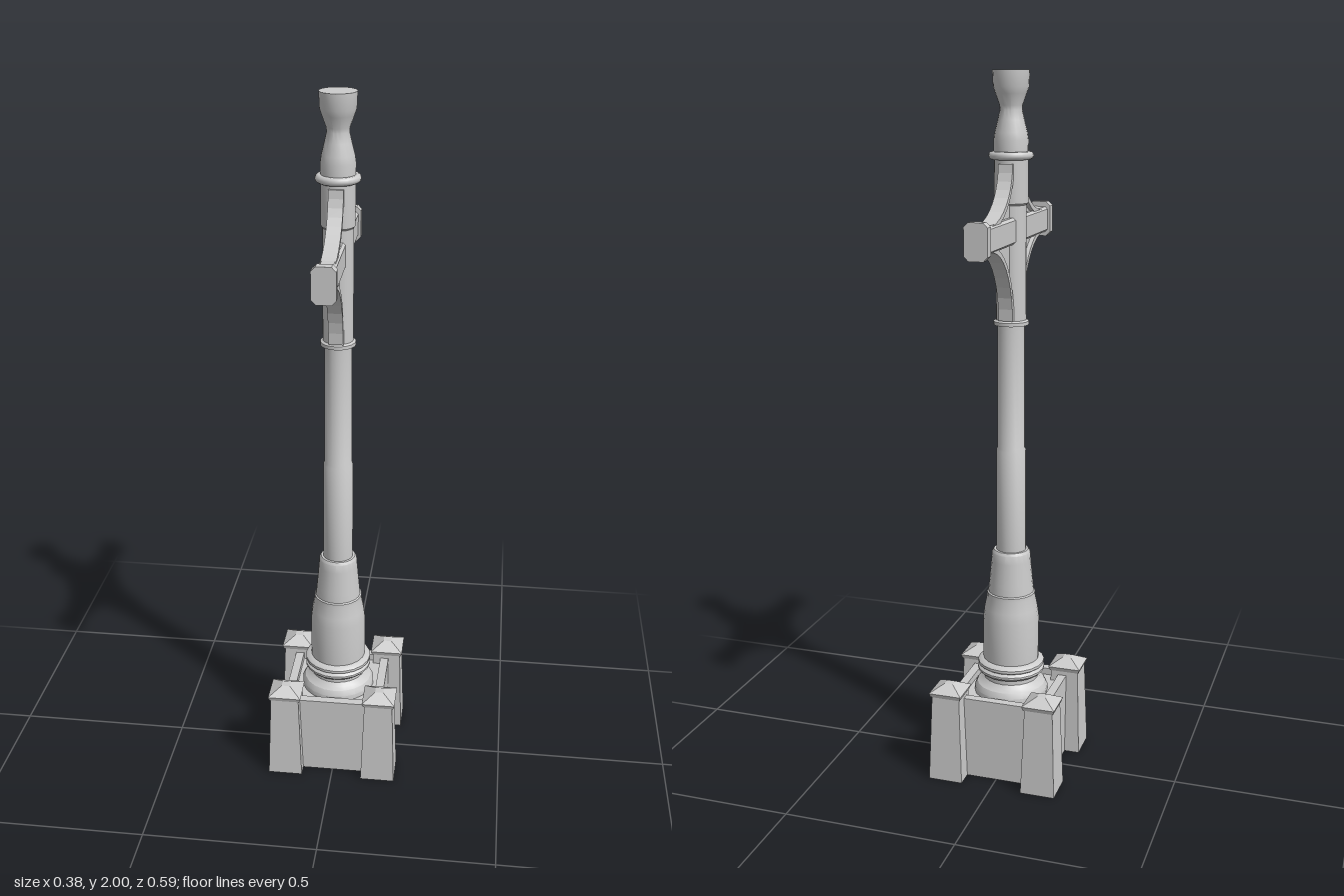
import * as THREE from 'three';
import { toCreasedNormals } from 'three/addons/utils/BufferGeometryUtils.js';

const material = new THREE.MeshStandardMaterial({ color: 0xcccccc, side: THREE.DoubleSide });
const flat = new THREE.MeshStandardMaterial({ color: 0xcccccc, flatShading: true });

function add(parent, name, geometry, mat = flat) {
  const mesh = new THREE.Mesh(geometry, mat);
  mesh.name = name;
  parent.add(mesh);
  return mesh;
}

// Square frustum given by its half widths and its bottom and top heights
function frustum(bottom, top, y0, y1) {
  return new THREE.CylinderGeometry(top * Math.SQRT2, bottom * Math.SQRT2, y1 - y0, 4)
    .rotateY(Math.PI / 4)
    .translate(0, (y0 + y1) / 2, 0);
}

function turned(profile) {
  const points = profile.map(([r, y]) => new THREE.Vector2(r, y));
  return toCreasedNormals(new THREE.LatheGeometry(points, 20), Math.PI / 6);
}

// Outline in the z-y plane, extruded symmetrically across x
function slab(points, thickness) {
  const shape = new THREE.Shape(points.map(([z, y]) => new THREE.Vector2(z, y)));
  return new THREE.ExtrudeGeometry(shape, { depth: thickness, bevelEnabled: false })
    .translate(0, 0, -thickness / 2)
    .rotateY(-Math.PI / 2);
}

// Quarter ellipse from the post (dir up or down) to the arm
function arc(armY, height, dir, inset) {
  const points = [];
  for (let i = 0; i <= 10; i++) {
    const a = (i / 10) * Math.PI / 2;
    points.push([
      0.24 - (0.19 + inset) * Math.cos(a),
      armY + dir * (height - (height + inset) * Math.sin(a)),
    ]);
  }
  return points;
}

// Octagonal prism along z with chamfered corners
function chamferedBar(w, h, c, length) {
  const shape = new THREE.Shape([
    [-w + c, -h], [w - c, -h], [w, -h + c], [w, h - c],
    [w - c, h], [-w + c, h], [-w, h - c], [-w, -h + c],
  ].map(([x, y]) => new THREE.Vector2(x, y)));
  return new THREE.ExtrudeGeometry(shape, { depth: length, bevelEnabled: false })
    .translate(0, 0, -length / 2);
}

export function createModel() {
  const model = new THREE.Group();
  model.name = 'lampPost';

  // Plinth with a raised rim
  const plinth = new THREE.Group();
  plinth.name = 'plinth';
  model.add(plinth);
  add(plinth, 'plinthBlock', new THREE.BoxGeometry(0.29, 0.225, 0.29).translate(0, 0.1125, 0));
  for (const s of [-1, 1]) {
    add(plinth, 'plinthRimSide', new THREE.BoxGeometry(0.025, 0.02, 0.29).translate(s * 0.1325, 0.235, 0));
    add(plinth, 'plinthRimEnd', new THREE.BoxGeometry(0.24, 0.02, 0.025).translate(0, 0.235, s * 0.1325));
  }

  // Corner piers with pyramid caps
  for (const x of [-0.139, 0.139]) {
    for (const z of [-0.146, 0.13]) {
      const pier = new THREE.Group();
      pier.name = 'cornerPier';
      pier.position.set(x, 0, z);
      add(pier, 'pierShaft', frustum(0.05, 0.041, 0, 0.258));
      add(pier, 'pierCapEdge', frustum(0.044, 0.048, 0.258, 0.27));
      add(pier, 'pierCap', frustum(0.048, 0.012, 0.27, 0.291));
      model.add(pier);
    }
  }

  // Turned base of the post
  add(model, 'postBase', turned([
    [0, 0.22], [0.108, 0.22], [0.108, 0.24], [0.1, 0.255], [0.088, 0.262], [0.08, 0.272],
    [0.08, 0.287], [0.092, 0.29], [0.098, 0.297], [0.098, 0.303], [0.09, 0.31],
    [0.097, 0.315], [0.097, 0.323], [0.088, 0.33], [0.081, 0.332], [0.081, 0.46],
    [0.077, 0.49], [0.07, 0.525], [0.07, 0.537], [0.066, 0.54], [0.063, 0.57],
    [0.057, 0.635], [0.055, 0.66], [0.05, 0.668], [0, 0.668],
  ]), material);

  // Stepped shaft
  add(model, 'shaft', turned([
    [0.043, 0.66], [0.042, 0.965], [0.039, 0.972], [0.038, 1.322], [0.049, 1.324],
    [0.049, 1.334], [0.042, 1.338], [0.042, 1.65], [0.046, 1.655], [0.046, 1.775],
  ]), material);
  add(model, 'collar', new THREE.TorusGeometry(0.05, 0.011, 10, 24).rotateX(Math.PI / 2).translate(0, 1.78, 0), material);

  // Waisted finial
  add(model, 'finial', turned([
    [0.046, 1.77], [0.047, 1.82], [0.044, 1.84], [0.036, 1.872], [0.03, 1.898],
    [0.031, 1.91], [0.042, 1.94], [0.048, 1.957], [0.05, 2], [0, 2],
  ]), material);

  // Cross arm with chamfered end blocks
  add(model, 'crossArm', chamferedBar(0.024, 0.036, 0.007, 0.57)).position.y = 1.583;
  for (const s of [-1, 1]) {
    add(model, 'armEnd', chamferedBar(0.032, 0.049, 0.012, 0.026)).position.set(0, 1.584, s * 0.282);
  }

  // Curved brackets: a flanged edge over a thin web
  for (const [armY, height, dir] of [[1.615, 0.145, 1], [1.55, 0.21, -1]]) {
    for (const turn of [0, Math.PI]) {
      const bracket = new THREE.Group();
      bracket.name = dir > 0 ? 'upperBracket' : 'lowerBracket';
      bracket.rotation.y = turn;
      const outer = arc(armY, height, dir, 0);
      const inner = arc(armY, height, dir, 0.014);
      add(bracket, 'bracketFlange', slab([...outer, ...inner.reverse()], 0.04));
      add(bracket, 'bracketWeb', slab([
        ...arc(armY, height, dir, 0.007), [0.24, armY - dir * 0.02],
        [0.02, armY - dir * 0.02], [0.02, armY + dir * height],
      ], 0.016));
      model.add(bracket);
    }
  }
  return model;
}
